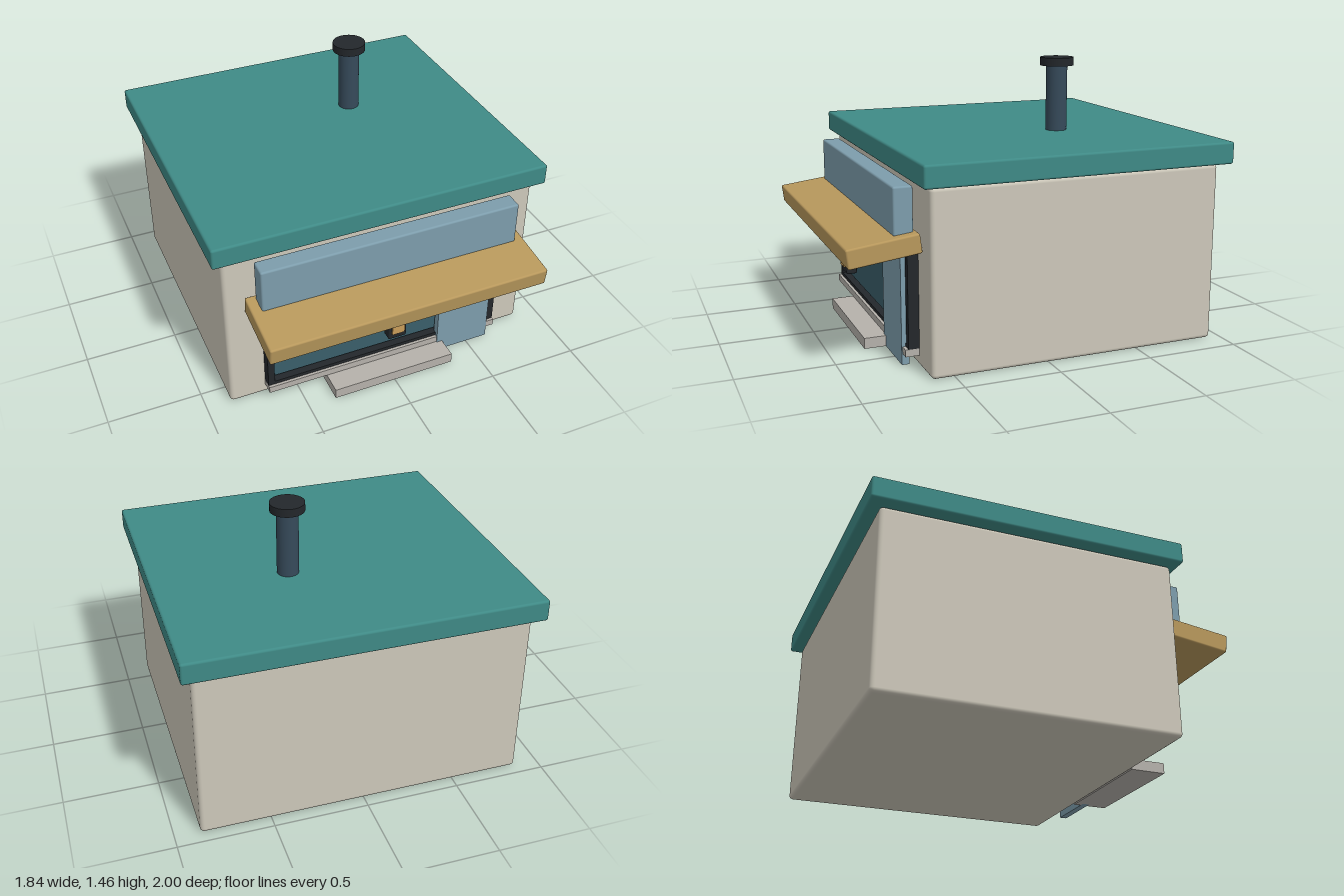
import * as THREE from 'three';
import { RoundedBoxGeometry } from 'three/addons/geometries/RoundedBoxGeometry.js';

const material = (color) => new THREE.MeshStandardMaterial({ color });
const mats = {
  wall: material(0xcdc8ba),
  roof: material(0x3f8a86),
  wood: material(0xb8985c),
  blue: material(0x7d9dac),
  glass: material(0x3a5e6a),
  dark: material(0x23272b),
  stone: material(0xb5b1ab),
  pipe: material(0x364a5a),
  amber: material(0xc99d5a),
};

export function createModel() {
  const model = new THREE.Group();

  const add = (name, geometry, mat, x, y, z) => {
    const mesh = new THREE.Mesh(geometry, mat);
    mesh.name = name;
    mesh.position.set(x, y, z);
    model.add(mesh);
    return mesh;
  };

  // Box from its minimum and maximum on each axis, with optional rounded edges
  const box = (name, mat, [x0, x1], [y0, y1], [z0, z1], radius = 0) => {
    const size = [x1 - x0, y1 - y0, z1 - z0];
    const geometry = radius
      ? new RoundedBoxGeometry(...size, 3, radius)
      : new THREE.BoxGeometry(...size);
    return add(name, geometry, mat, (x0 + x1) / 2, (y0 + y1) / 2, (z0 + z1) / 2);
  };

  // Building and flat overhanging roof
  box('walls', mats.wall, [-0.868, 0.868], [0.005, 0.948], [-0.942, 0.618], 0.022);
  box('roof', mats.roof, [-0.922, 0.922], [0.953, 1.068], [-1, 0.666], 0.012);

  // Chimney pipe and cap
  add('chimneyPipe', new THREE.CylinderGeometry(0.057, 0.057, 0.37, 32), mats.pipe, 0.22, 1.245, -0.328);
  add('chimneyCap', new THREE.CylinderGeometry(0.09, 0.09, 0.044, 32), mats.dark, 0.22, 1.44, -0.328);

  // Blank sign board above the sloping awning
  box('signBoard', mats.blue, [-0.712, 0.712], [0.69, 0.932], [0.652, 0.752], 0.01);
  const awning = box('awning', mats.wood, [-0.764, 0.764], [0.587, 0.687], [0.627, 0.995], 0.01);
  awning.rotation.x = 0.125;

  // Shop window with its dark frame and stone sill
  box('windowPane', mats.glass, [-0.628, 0.628], [0.132, 0.58], [0.615, 0.645]);
  for (const side of [-1, 1]) {
    const x = side * 0.656;
    box('frameSide', mats.dark, [x - 0.018, x + 0.018], [0.1, 0.622], [0.615, 0.674]);
  }
  box('frameBottom', mats.dark, [-0.674, 0.674], [0.1, 0.119], [0.615, 0.674]);
  box('frameTop', mats.dark, [-0.674, 0.674], [0.59, 0.622], [0.615, 0.674]);
  box('sill', mats.stone, [-0.675, 0.675], [0.063, 0.1], [0.615, 0.69]);

  // Door and front step
  box('door', mats.blue, [0.313, 0.626], [0.005, 0.575], [0.655, 0.695]);
  box('step', mats.stone, [-0.348, 0.346], [0.005, 0.062], [0.615, 0.81]);

  // Lantern hanging in front of the window
  box('lanternCase', mats.dark, [-0.052, 0.05], [0.322, 0.488], [0.762, 0.82], 0.008);
  box('lanternGlass', mats.amber, [-0.036, 0.034], [0.36, 0.452], [0.79, 0.831]);

  return model;
}
